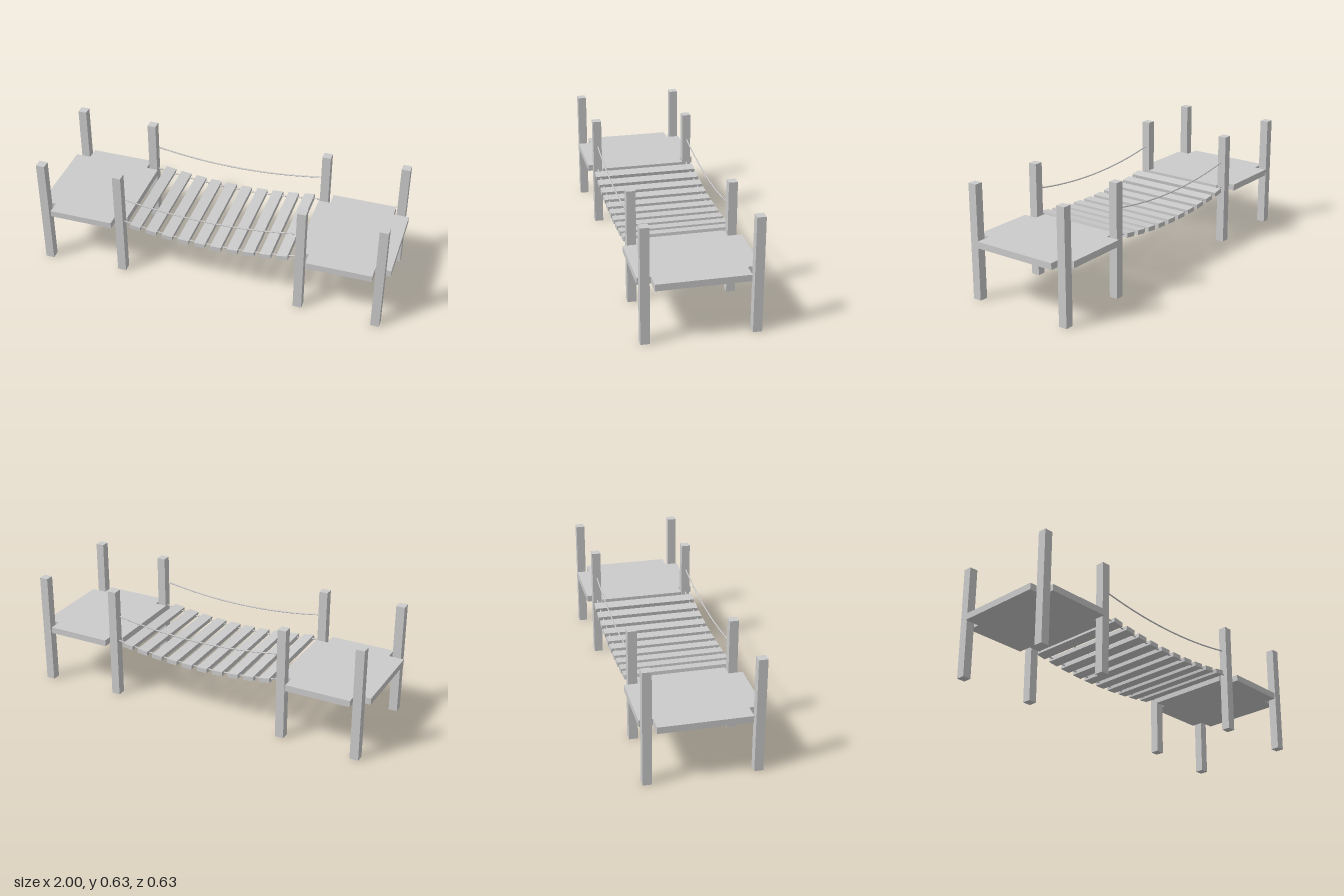
import * as THREE from 'three';

export function createModel() {
  const bridge = new THREE.Group();
  bridge.name = 'ropeBridge';
  const wood = new THREE.MeshStandardMaterial({ color: 0xcccccc, flatShading: true });
  const ropeMaterial = new THREE.MeshStandardMaterial({ color: 0xcccccc });

  const add = (name, geometry, x, y, z, material = wood) => {
    const mesh = new THREE.Mesh(geometry, material);
    mesh.name = name;
    mesh.position.set(x, y, z);
    bridge.add(mesh);
    return mesh;
  };

  // Sagging curve shared by the walkway and the ropes
  const sag = (x, low, high, half) => low + (high - low) * (x / half) ** 2;
  const walkway = (x) => sag(x, 0.291, 0.334, 0.49);

  // Platform outline with its corners notched around the posts
  const deckShape = (s) => {
    const half = [[0.485, 0.24], [0.553, 0.24], [0.553, 0.317], [0.914, 0.317], [0.914, 0.244], [0.999, 0.244]];
    const outline = [...half, ...half.map(([x, z]) => [x, -z]).reverse()];
    return new THREE.Shape(outline.map(([x, z]) => new THREE.Vector2(s * x, z)));
  };

  const post = new THREE.BoxGeometry(0.048, 0.634, 0.048);
  for (const [side, s] of [['left', 1], ['right', -1]]) {
    const deck = new THREE.ExtrudeGeometry(deckShape(s), { depth: 0.036, bevelEnabled: false });
    deck.rotateX(-Math.PI / 2);
    add(side + 'Platform', deck, 0, 0.304, 0);
    for (const f of [1, -1]) {
      const end = f > 0 ? 'Front' : 'Back';
      add(side + end + 'OuterPost', post, s * 0.951, 0.317, f * 0.288);
      add(side + end + 'InnerPost', post, s * 0.514, 0.317, f * 0.268);
    }
  }

  // Planks, each tilted to follow the sag
  const plank = new THREE.BoxGeometry(0.061, 0.025, 0.588);
  for (let i = 0; i < 10; i++) {
    const x = (i - 4.5) * 0.0933;
    const slope = (walkway(x + 0.01) - walkway(x - 0.01)) / 0.02;
    add('plank' + (i + 1), plank, x, walkway(x), 0).rotation.z = Math.atan(slope);
  }

  // Handrail ropes and the ropes that carry the planks
  const rope = (half, height) => {
    const points = [];
    for (let i = 0; i <= 12; i++) {
      const x = half * (i / 6 - 1);
      points.push(new THREE.Vector3(x, height(x), 0));
    }
    return new THREE.TubeGeometry(new THREE.CatmullRomCurve3(points), 32, 0.004, 8, false);
  };
  const handrail = rope(0.48, (x) => sag(x, 0.441, 0.483, 0.48));
  const carrier = rope(0.492, walkway);
  for (const f of [1, -1]) {
    const end = f > 0 ? 'front' : 'back';
    add(end + 'HandrailRope', handrail, 0, 0, f * 0.268, ropeMaterial);
    add(end + 'WalkwayRope', carrier, 0, 0, f * 0.268, ropeMaterial);
  }
  return bridge;
}
